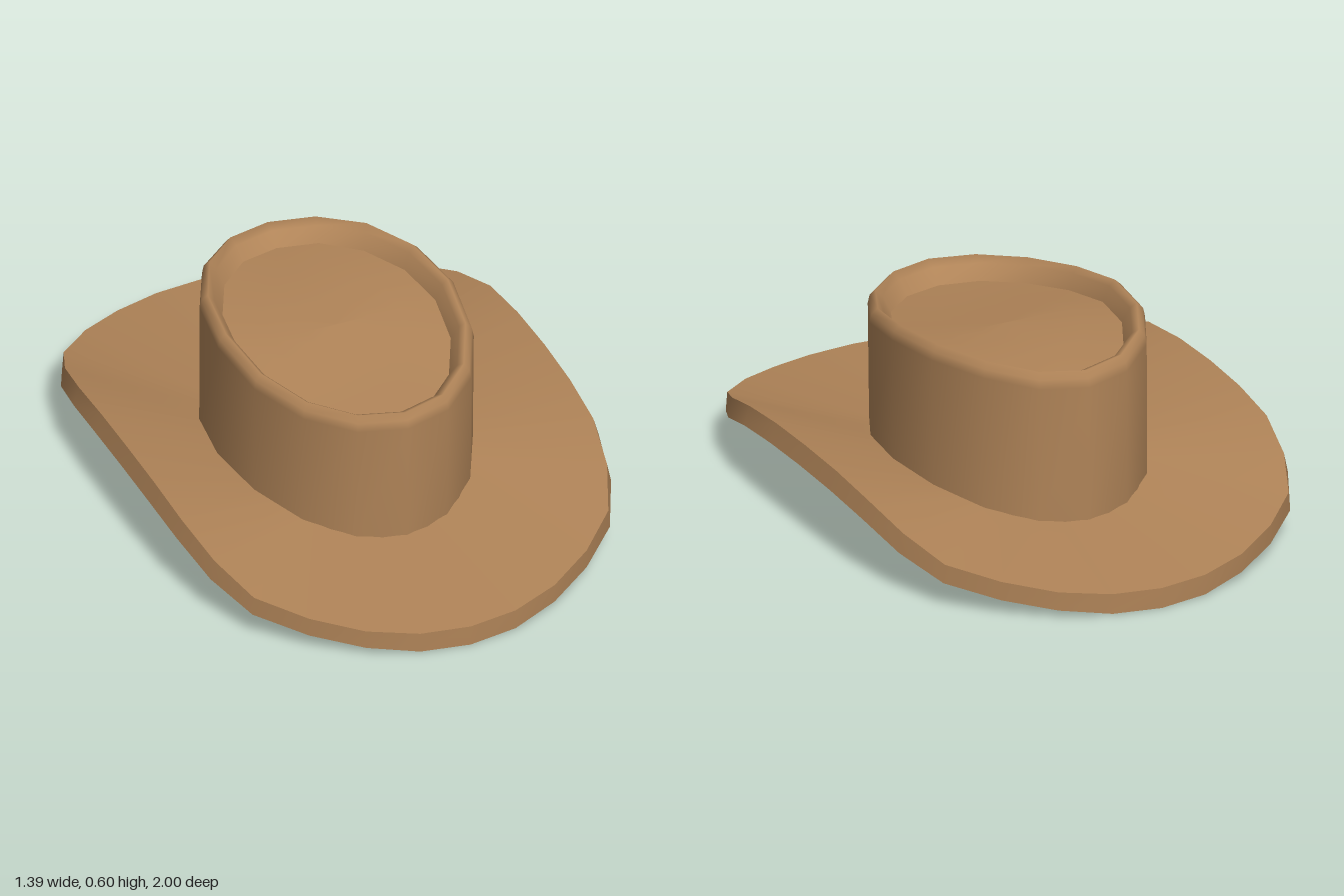
import * as THREE from 'three';

const felt = new THREE.MeshStandardMaterial({ color: 0xb08458 });
felt.name = 'tan felt';

// Skin closed rings (lists of [x, y, z]) in order, smooth within one mesh
function loft(name, rings) {
  const n = rings[0].length;
  const index = [];
  for (let r = 0; r < rings.length - 1; r++) {
    for (let i = 0; i < n; i++) {
      const j = (i + 1) % n, a = r * n, b = a + n;
      index.push(a + i, a + j, b + j, a + i, b + j, b + i);
    }
  }
  const geo = new THREE.BufferGeometry();
  geo.setAttribute('position', new THREE.Float32BufferAttribute(rings.flat(2), 3));
  geo.setIndex(index);
  geo.computeVertexNormals();
  const mesh = new THREE.Mesh(geo, felt);
  mesh.name = name;
  return mesh;
}

// Elliptical ring starting at the front; height is a function of (z, angle)
function ellipse(n, rx, rz, height, dz = 0) {
  return Array.from({ length: n }, (_, i) => {
    const t = (i / n) * Math.PI * 2;
    const z = rz * Math.cos(t) + dz;
    return [rx * Math.sin(t), height(z, t), z];
  });
}

// Brim rim from a quarter list of [x, y], mirrored to all four quadrants
function rimRing(quarter) {
  return Array.from({ length: 32 }, (_, i) => {
    const half = i <= 16 ? i : 32 - i;
    const [x, y] = quarter[half <= 8 ? half : 16 - half];
    return [i <= 16 ? x : -x, y, Math.cos((i / 16) * Math.PI)];
  });
}

// Height of the crown's rolled top edge along z: low in front, high behind the middle
const crest = [[-0.54, 0.573], [-0.4, 0.598], [-0.2, 0.605], [0, 0.597], [0.3, 0.553], [0.46, 0.537], [0.54, 0.533]];
function crestY(z) {
  if (z <= crest[0][0]) return crest[0][1];
  for (let i = 1; i < crest.length; i++) {
    const [z0, y0] = crest[i - 1], [z1, y1] = crest[i];
    if (z <= z1) return y0 + ((y1 - y0) * (z - z0)) / (z1 - z0);
  }
  return crest[crest.length - 1][1];
}

export function createModel() {
  const hat = new THREE.Group();
  hat.name = 'hat';

  // Brim: sides curl upward, front and back dip down
  const lower = rimRing([[0, 0], [0.155, 0.005], [0.306, 0.024], [0.45, 0.05], [0.58, 0.083],
    [0.65, 0.135], [0.685, 0.185], [0.695, 0.205], [0.697, 0.21]]);
  const upper = rimRing([[0, 0.065], [0.155, 0.069], [0.306, 0.083], [0.45, 0.11], [0.575, 0.142],
    [0.637, 0.197], [0.668, 0.245], [0.675, 0.265], [0.677, 0.27]]);
  const saddle = (base, rise) => (z, t) => base + rise * Math.sin(t) ** 2;
  const opening = ellipse(32, 0.3, 0.38, saddle(0.05, 0.05));
  const brim = new THREE.Group();
  brim.name = 'brim';
  brim.add(
    loft('brimUnderside', [opening, lower]),
    loft('brimEdge', [lower, upper]),
    loft('brimTop', [upper, ellipse(32, 0.375, 0.525, saddle(0.1, 0.065))]),
  );

  // Crown: upright oval wall, rolled edge and dished top
  const crownRing = (rx, rz, drop) => ellipse(16, rx, rz, (z) => crestY(z) - drop, 0.005);
  const dishEdge = crownRing(0.32, 0.447, 0.065);
  const wallTop = crownRing(0.385, 0.534, 0.045);
  const crown = new THREE.Group();
  crown.name = 'crown';
  crown.add(
    loft('crownWallAndRoll', [
      ellipse(16, 0.385, 0.528, saddle(0.085, 0.065)),
      wallTop,
      crownRing(0.379, 0.529, 0.018),
      crownRing(0.36, 0.512, 0),
      crownRing(0.342, 0.482, 0.018),
      dishEdge,
    ]),
    loft('crownDish', [
      dishEdge,
      crownRing(0.21, 0.3, 0.065),
      crownRing(0.1, 0.15, 0.065),
      crownRing(0, 0, 0.065),
    ]),
  );

  // Hollow inside the crown
  const ceiling = ellipse(32, 0.3, 0.38, () => 0.43);
  const hollow = new THREE.Group();
  hollow.name = 'hollow';
  hollow.add(
    loft('hollowCeiling', [ellipse(32, 0, 0, () => 0.43), ceiling]),
    loft('hollowWall', [ceiling, opening]),
  );

  hat.add(brim, crown, hollow);
  return hat;
}
